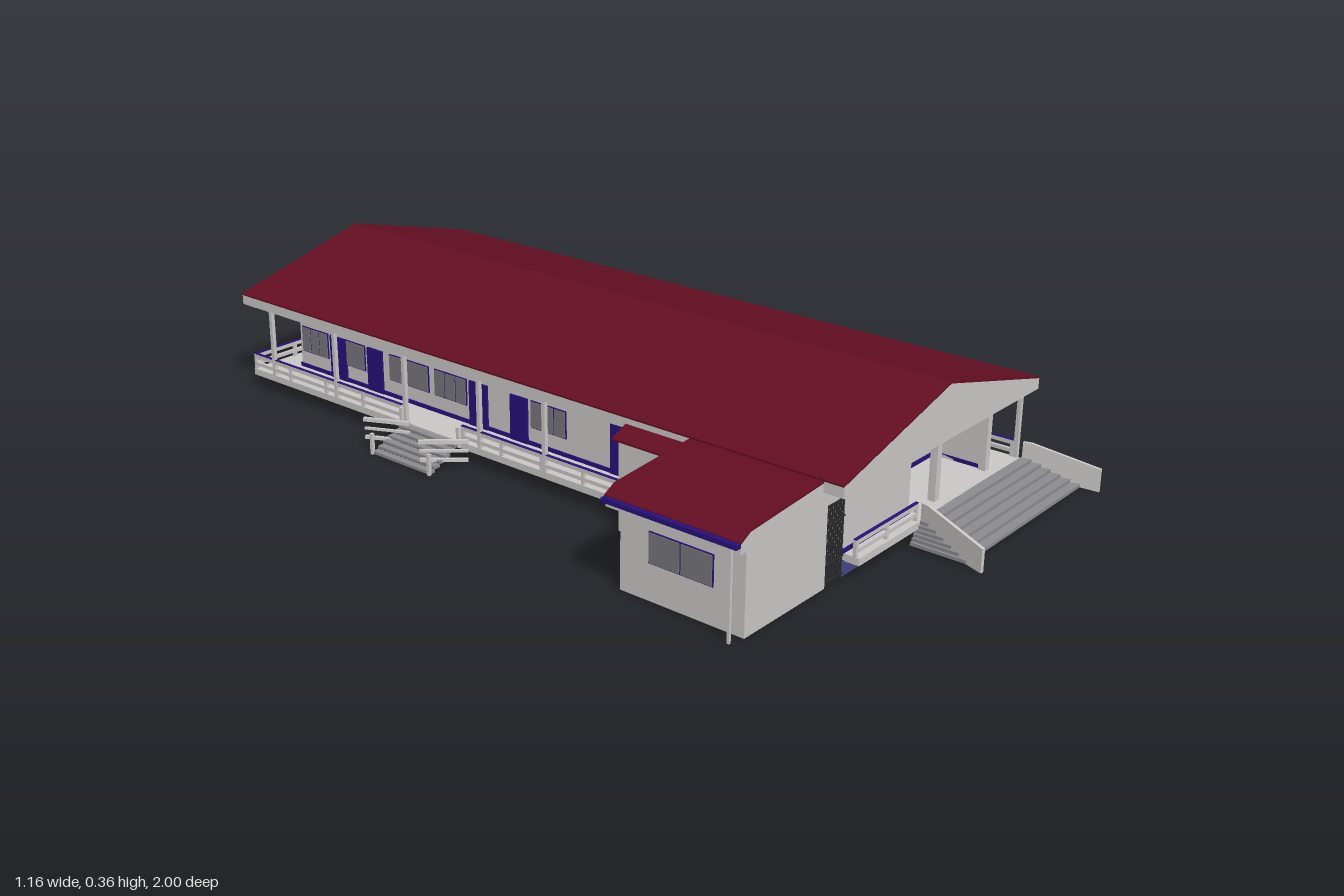
import * as THREE from 'three';

const mat = (name, color) => {
  const m = new THREE.MeshStandardMaterial({ color });
  m.name = name;
  return m;
};

export function createModel() {
  const wall = mat('wall off-white', 0xcac8c6);
  const red = mat('roof red', 0x640d22);
  const blue = mat('door blue', 0x28107a);
  const base = mat('foundation blue', 0x46468a);
  const step = mat('step grey', 0x8c8c90);
  const glass = mat('window grey', 0x77777c);
  const iron = mat('gate iron', 0x2c2c30);
  const model = new THREE.Group();
  model.name = 'verandaBuilding';

  const add = (name, geo, m, parent = model) => {
    const mesh = new THREE.Mesh(geo, m);
    mesh.name = name;
    parent.add(mesh);
    return mesh;
  };
  // Box given by its minimum and maximum on each axis
  const box = (name, m, x0, x1, y0, y1, z0, z1, parent) => {
    const mesh = add(name, new THREE.BoxGeometry(x1 - x0, y1 - y0, z1 - z0), m, parent);
    mesh.position.set((x0 + x1) / 2, (y0 + y1) / 2, (z0 + z1) / 2);
    return mesh;
  };
  // Outline in x,y pushed from z0 to z1
  const prism = (name, m, pts, z0, z1, parent) => {
    const shape = new THREE.Shape(pts.map(([x, y]) => new THREE.Vector2(x, y)));
    const geo = new THREE.ExtrudeGeometry(shape, { depth: z1 - z0, bevelEnabled: false });
    const mesh = add(name, geo, m, parent);
    mesh.position.z = z0;
    return mesh;
  };
  // Thin roof covering that follows a line of points
  const covering = (name, line, z0, z1) => prism(name, red,
    [...line, ...line.slice().reverse().map(([x, y]) => [x, y + 0.004])], z0, z1);
  // Straight bar between two points
  const bar = (name, m, a, b, t, parent) => {
    const p = new THREE.Vector3(...a), q = new THREE.Vector3(...b);
    const mesh = add(name, new THREE.BoxGeometry(t, t, p.distanceTo(q)), m, parent);
    mesh.position.copy(p).add(q).multiplyScalar(0.5);
    mesh.lookAt(q);
    return mesh;
  };

  // Foundation, deck and walls
  box('foundation', base, -0.21, 0.38, 0.003, 0.037, -0.9, 0.79);
  box('deck', wall, -0.2, 0.475, 0.035, 0.052, -0.98, 0.825);
  box('leftDeck', wall, -0.295, -0.2, 0.035, 0.052, -0.98, 0.3);
  box('mainWalls', wall, -0.2, 0.37, 0.05, 0.227, -0.9, 0.66);
  box('frontRoomWalls', wall, -0.2, 0.05, 0.05, 0.227, 0.66, 0.785);
  box('porchSideWall', wall, 0.36, 0.37, 0.05, 0.227, 0.66, 0.785);
  box('skirting', blue, -0.203, 0.373, 0.052, 0.062, -0.903, 0.663);
  box('frontRoomSkirting', blue, -0.203, 0.05, 0.052, 0.062, 0.66, 0.788);
  box('porchSideSkirting', blue, 0.36, 0.373, 0.052, 0.062, 0.66, 0.788);
  box('entranceDoor', blue, 0.052, 0.12, 0.052, 0.221, 0.66, 0.667);
  for (const x of [0.145, 0.362]) box('porchColumn', wall, x - 0.009, x + 0.009, 0.05, 0.227, 0.78, 0.798);

  // Main gabled roof
  prism('gableAndFascia', wall, [[-0.3, 0.225], [0.485, 0.225], [0.485, 0.25], [0.09, 0.352], [-0.3, 0.25]], -1, 0.845);
  covering('mainRoof', [[-0.302, 0.25], [0.09, 0.352], [0.486, 0.25]], -1, 0.845);

  // Windows and doors, laid on a wall at a point and turned to face outward
  const onWall = (name, x, z, turn) => {
    const g = new THREE.Group();
    g.name = name;
    g.position.set(x, 0, z);
    g.rotation.y = turn;
    model.add(g);
    return g;
  };
  const windowAt = (x, z, turn, w, panes, y0 = 0.097, y1 = 0.165) => {
    const g = onWall('window', x, z, turn);
    box('windowFrame', blue, -w / 2, w / 2, y0, y1, 0, 0.003, g);
    const p = w / panes;
    for (let i = 0; i < panes; i++)
      box('windowPane', glass, -w / 2 + i * p + 0.002, -w / 2 + (i + 1) * p - 0.002, y0 + 0.002, y1 - 0.002, 0, 0.005, g);
  };
  const doorAt = (x, z, turn, w, top = 0.165) =>
    box('door', blue, -w / 2, w / 2, 0.052, top, 0, 0.005, onWall('doorway', x, z, turn));

  const windows = [[0.75, 0.65, 3], [0.55, 0.4, 5], [0.37, 0.23, 4], [0.18, 0.05, 4], [0.03, -0.08, 3],
    [-0.29, -0.4, 3], [-0.42, -0.56, 1], [-0.65, -0.72, 1], [-0.79, -0.89, 3]];
  const doors = [[0.64, 0.58], [-0.09, -0.145], [-0.22, -0.28], [-0.585, -0.64], [-0.72, -0.78]];
  for (const [x, turn] of [[0.37, Math.PI / 2], [-0.2, -Math.PI / 2]]) {
    for (const [a, b, n] of windows) if (x > 0 || a < 0.15) windowAt(x, (a + b) / 2, turn, a - b, n);
    for (const [a, b] of doors) if (x > 0 || a < 0.15) doorAt(x, (a + b) / 2, turn, a - b);
  }
  doorAt(-0.2, 0.2, -Math.PI / 2, 0.07, 0.2);
  windowAt(0.235, -0.9, Math.PI, 0.15, 4);
  windowAt(-0.04, -0.9, Math.PI, 0.1, 2);

  // Veranda railing: two rails, short posts and a thin dark line
  const railing = (x0, z0, x1, z1) => {
    const g = new THREE.Group();
    g.name = 'railing';
    model.add(g);
    const h = 0.004;
    const [xa, xb, za, zb] = [Math.min(x0, x1) - h, Math.max(x0, x1) + h, Math.min(z0, z1) - h, Math.max(z0, z1) + h];
    box('topRail', wall, xa, xb, 0.082, 0.092, za, zb, g);
    box('railCap', blue, xa, xb, 0.092, 0.0935, za, zb, g);
    box('lowerRail', wall, xa, xb, 0.062, 0.071, za, zb, g);
    const n = Math.max(1, Math.round(Math.hypot(x1 - x0, z1 - z0) / 0.13));
    for (let i = 0; i <= n; i++) {
      const x = x0 + (x1 - x0) * i / n, z = z0 + (z1 - z0) * i / n;
      box('railPost', wall, x - h, x + h, 0.05, 0.083, z - h, z + h, g);
    }
  };
  railing(0.472, 0.8, 0.472, 0.045);
  railing(0.472, -0.165, 0.472, -0.975);
  railing(-0.29, -0.975, 0.472, -0.975);
  railing(-0.29, -0.975, -0.29, -0.425);
  railing(-0.29, -0.215, -0.29, 0.285);
  railing(-0.2, 0.815, 0.03, 0.815);

  // Posts holding up the eaves
  for (const z of [0.81, 0.555, 0.3, 0.045, -0.16, -0.41, -0.66, -0.9]) {
    box('eavePost', wall, 0.468, 0.478, 0.05, 0.226, z - 0.005, z + 0.005);
    if (z < 0.3) box('eavePost', wall, -0.295, -0.285, 0.05, 0.226, z - 0.005, z + 0.005);
  }

  // Wide front stairs that flare outward between two low cheek walls
  const stairs = new THREE.Group();
  stairs.name = 'frontStairs';
  model.add(stairs);
  for (let i = 0; i < 6; i++) {
    const z = 0.845 + i * 0.022, f = (z - 0.82) * 0.26;
    box('frontStep', step, 0.04 - f, 0.485 + f, 0.044 - i * 0.008, 0.052 - i * 0.008, 0.82, z, stairs);
  }
  for (const [x, turn] of [[0.045, -0.26], [0.482, 0.26]]) {
    const cheek = prism('stairCheek', wall, [[0, 0.015], [-0.18, 0], [-0.18, 0.055], [-0.02, 0.09], [0, 0.09]], -0.004, 0.004, stairs);
    cheek.position.set(x, 0, 0.822);
    cheek.geometry.translate(0, 0, -0.004);
    cheek.rotation.y = Math.PI / 2 + turn;
  }

  // Small side stairs with sloping handrails; dir points away from the building
  const sideStairs = (name, x, z0, z1, dir) => {
    const g = new THREE.Group();
    g.name = name;
    g.position.x = x;
    if (dir < 0) g.rotation.y = Math.PI;
    model.add(g);
    const [a, b] = dir > 0 ? [z0, z1] : [-z1, -z0];
    for (let i = 0; i < 6; i++)
      box('sideStep', step, i * 0.017 - 0.006, i * 0.017 + 0.012, 0.041 - i * 0.008, 0.048 - i * 0.008, a, b, g);
    for (const z of [a, b]) {
      bar('stringer', wall, [-0.005, 0.042, z], [0.1, 0.004, z], 0.008, g);
      bar('handrail', wall, [-0.005, 0.09, z], [0.103, 0.048, z], 0.009, g);
      bar('middleRail', wall, [-0.005, 0.066, z], [0.1, 0.025, z], 0.006, g);
      for (const px of [0, 0.097]) box('handrailPost', wall, px - 0.004, px + 0.004, px ? 0 : 0.04, px ? 0.053 : 0.09, z - 0.004, z + 0.004, g);
    }
  };
  sideStairs('rightStairs', 0.475, -0.156, 0.036, 1);
  sideStairs('leftStairs', -0.3, -0.415, -0.222, -1);

  // Side annex with its lean-to roof
  box('annexWalls', wall, -0.54, -0.27, 0, 0.195, 0.48, 0.79);
  box('annexInnerWalls', wall, -0.27, -0.2, 0, 0.195, 0.48, 0.7);
  prism('annexFascia', wall, [[-0.568, 0.19], [-0.24, 0.19], [-0.24, 0.24], [-0.3, 0.246], [-0.54, 0.228], [-0.568, 0.213]], 0.465, 0.797);
  covering('annexRoof', [[-0.57, 0.212], [-0.54, 0.228], [-0.295, 0.246]], 0.464, 0.798);
  box('annexGutter', blue, -0.582, -0.568, 0.204, 0.214, 0.465, 0.797);
  box('downpipe', wall, -0.576, -0.57, 0, 0.205, 0.775, 0.781);
  windowAt(-0.54, 0.635, -Math.PI / 2, 0.16, 2, 0.085, 0.155);
  windowAt(-0.45, 0.48, Math.PI, 0.1, 2, 0.085, 0.155);

  // Small store beside the annex
  box('storeWalls', wall, -0.335, -0.2, 0, 0.215, 0.3, 0.48);
  covering('storeRoof', [[-0.345, 0.212], [-0.29, 0.236]], 0.29, 0.47);

  // Barred gate between annex and main building
  const gate = new THREE.Group();
  gate.name = 'gate';
  model.add(gate);
  for (let i = 0; i < 8; i++) {
    const x = -0.267 + i * 0.008;
    box('gateBar', iron, x - 0.0015, x + 0.0015, 0.005, i > 3 ? 0.212 : 0.19, 0.787, 0.79, gate);
  }
  for (const y of [0.01, 0.05, 0.14, 0.18]) box('gateCrossbar', iron, -0.27, -0.207, y, y + 0.004, 0.786, 0.791, gate);

  return model;
}
